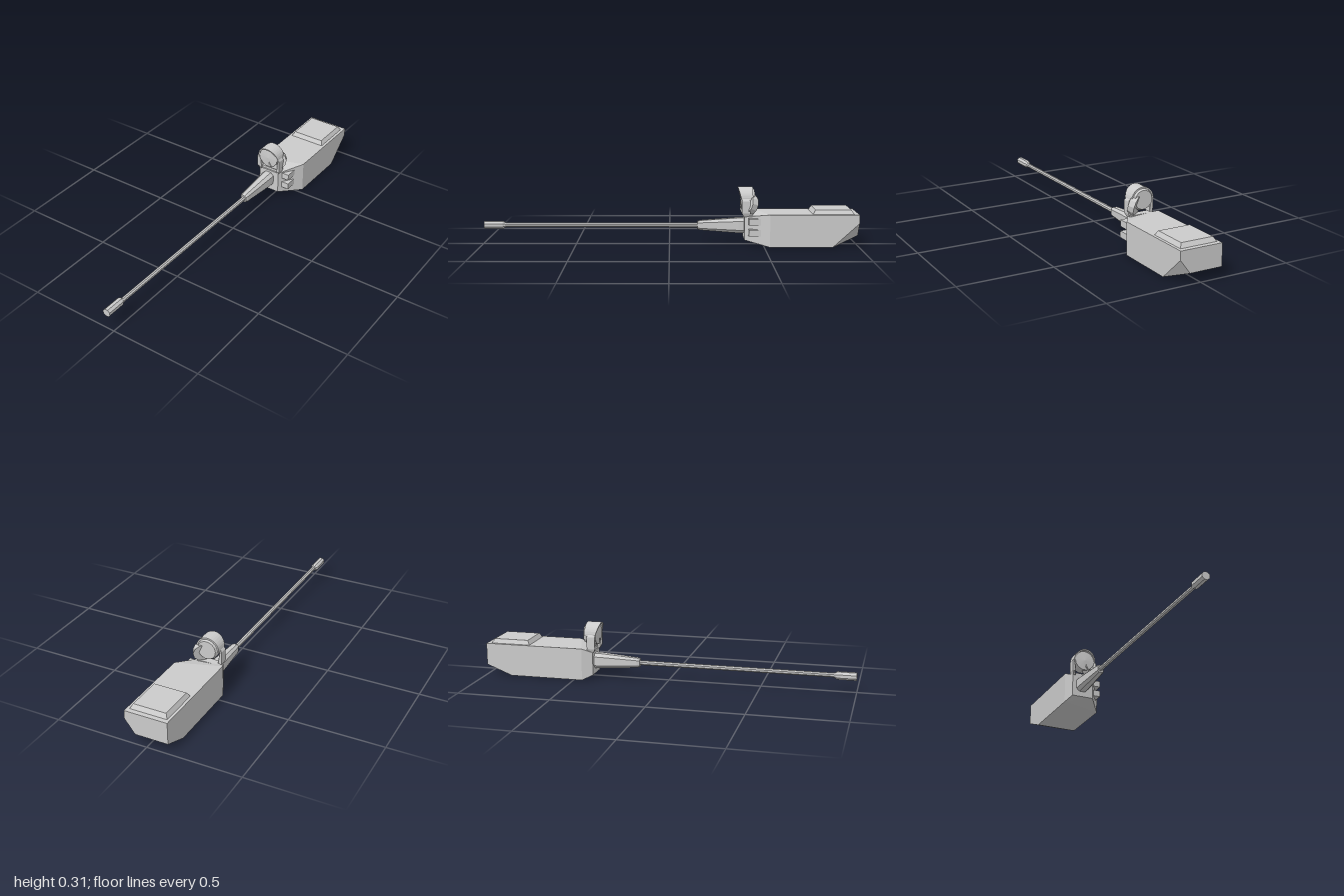
import * as THREE from 'three';
import { ConvexGeometry } from 'three/addons/geometries/ConvexGeometry.js';

const material = new THREE.MeshStandardMaterial({ color: 0xcccccc, flatShading: true, side: THREE.DoubleSide });

export function createModel() {
  const model = new THREE.Group();
  model.name = 'gunTurret';

  const add = (name, geometry, x = 0, y = 0, z = 0) => {
    const mesh = new THREE.Mesh(geometry, material);
    mesh.name = name;
    mesh.position.set(x, y, z);
    model.add(mesh);
    return mesh;
  };
  // Faceted solid spanning its corner points
  const hull = (name, points) => add(name, new ConvexGeometry(points.map(p => new THREE.Vector3(...p))));
  const rect = (x0, x1, z0, z1, y) => [[x0, y, z0], [x1, y, z0], [x1, y, z1], [x0, y, z1]];
  // Lengthwise lathe along z from [radius, z] pairs
  const turned = (name, profile, sides, x, y) => {
    const g = new THREE.LatheGeometry(profile.map(([r, z]) => new THREE.Vector2(r, z)), sides);
    g.rotateX(Math.PI / 2);
    g.rotateZ(Math.PI / sides);
    return add(name, g, x, y, 0);
  };

  // Housing: angled nose, sloped tail and one clipped lower rear corner
  hull('housing', [
    [-0.093, 0.025, -0.4], [0.03, 0.025, -0.4], [0.03, 0.15, -0.4], [-0.093, 0.15, -0.4],
    [-0.117, 0, -0.455], [-0.117, 0.173, -0.455], [0.115, 0, -0.53], [0.115, 0.173, -0.53],
    [-0.117, 0, -0.86], [0.115, 0, -0.86],
    [-0.117, 0.055, -1], [0.06, 0.055, -1], [0.115, 0.128, -1],
    [-0.117, 0.173, -1], [0.115, 0.173, -1],
  ]);

  // Bevelled roof hatch
  hull('roofHatch', [
    ...rect(-0.103, 0.1, -0.975, -0.755, 0.172),
    ...rect(-0.09, 0.087, -0.96, -0.77, 0.196),
  ]);

  // Tapering gun sleeve with an eight-sided section
  const gunX = -0.035, gunY = 0.096;
  const octagon = (w, h, z, c = w * 0.5) => [-1, 1].flatMap(sx => [-1, 1].flatMap(sy => [
    [gunX + sx * w, gunY + sy * (h - c), z],
    [gunX + sx * (w - c), gunY + sy * h, z],
  ]));
  hull('gunSleeve', [
    ...octagon(0.034, 0.041, -0.41), ...octagon(0.034, 0.041, -0.37),
    ...octagon(0.022, 0.026, -0.165), ...octagon(0.017, 0.021, -0.15),
  ]);

  // Barrel and muzzle
  turned('barrel', [[0, -0.2], [0.013, -0.2], [0.012, 0.92], [0, 0.92]], 8, gunX, gunY);
  turned('muzzle', [[0, 0.885], [0.013, 0.885], [0.022, 0.9], [0.022, 1], [0, 1]], 8, gunX - 0.003, gunY);

  // Two box sensors on the angled nose
  for (const y of [0.0705, 0.1295]) {
    add('noseSensor', new THREE.BoxGeometry(0.043, 0.035, 0.09), 0.0635, y, -0.465);
  }

  // Searchlight drum
  const lampX = -0.028, lampY = 0.242;
  turned('searchlightDrum', [[0, -0.455], [0.05, -0.455], [0.058, -0.44], [0.058, -0.385], [0, -0.38]], 14, lampX, lampY);

  // Hood arched over the drum
  const arch = new THREE.Shape();
  arch.absarc(0, 0, 0.064, -0.05, Math.PI + 0.05, false);
  arch.absarc(0, 0, 0.056, Math.PI + 0.05, -0.05, true);
  const hood = new THREE.ExtrudeGeometry(arch, { depth: 0.075, bevelEnabled: false, curveSegments: 8 });
  // Front edge rakes forward towards the top
  const pos = hood.attributes.position;
  for (let i = 0; i < pos.count; i++) {
    if (pos.getZ(i) > 0.05) pos.setZ(i, 0.06 + Math.max(0, pos.getY(i)) * 0.3);
  }
  hood.computeVertexNormals();
  add('searchlightHood', hood, lampX, lampY, -0.445);

  // Fork arms holding the drum
  for (const side of [-1, 1]) {
    const x0 = lampX + side * 0.063, x1 = lampX + side * 0.071;
    hull('forkArm', [
      ...rect(x0, x1, -0.43, -0.385, 0.235), ...rect(x0, x0 - side * 0.004, -0.425, -0.39, 0.247),
      ...rect(x0, x1, -0.43, -0.385, 0.17), ...rect(x0 - side * 0.014, x0, -0.43, -0.395, 0.15),
    ]);
  }
  add('forkBase', new THREE.BoxGeometry(0.125, 0.014, 0.04), lampX, 0.159, -0.425);

  // Tilted round cover swung to the side of the drum
  const cover = add('sideCover', new THREE.CylinderGeometry(0.05, 0.056, 0.035, 11), 0.006, 0.216, -0.425);
  cover.quaternion.setFromUnitVectors(new THREE.Vector3(0, 1, 0), new THREE.Vector3(0.6, 0.25, 0.76).normalize());

  return model;
}
